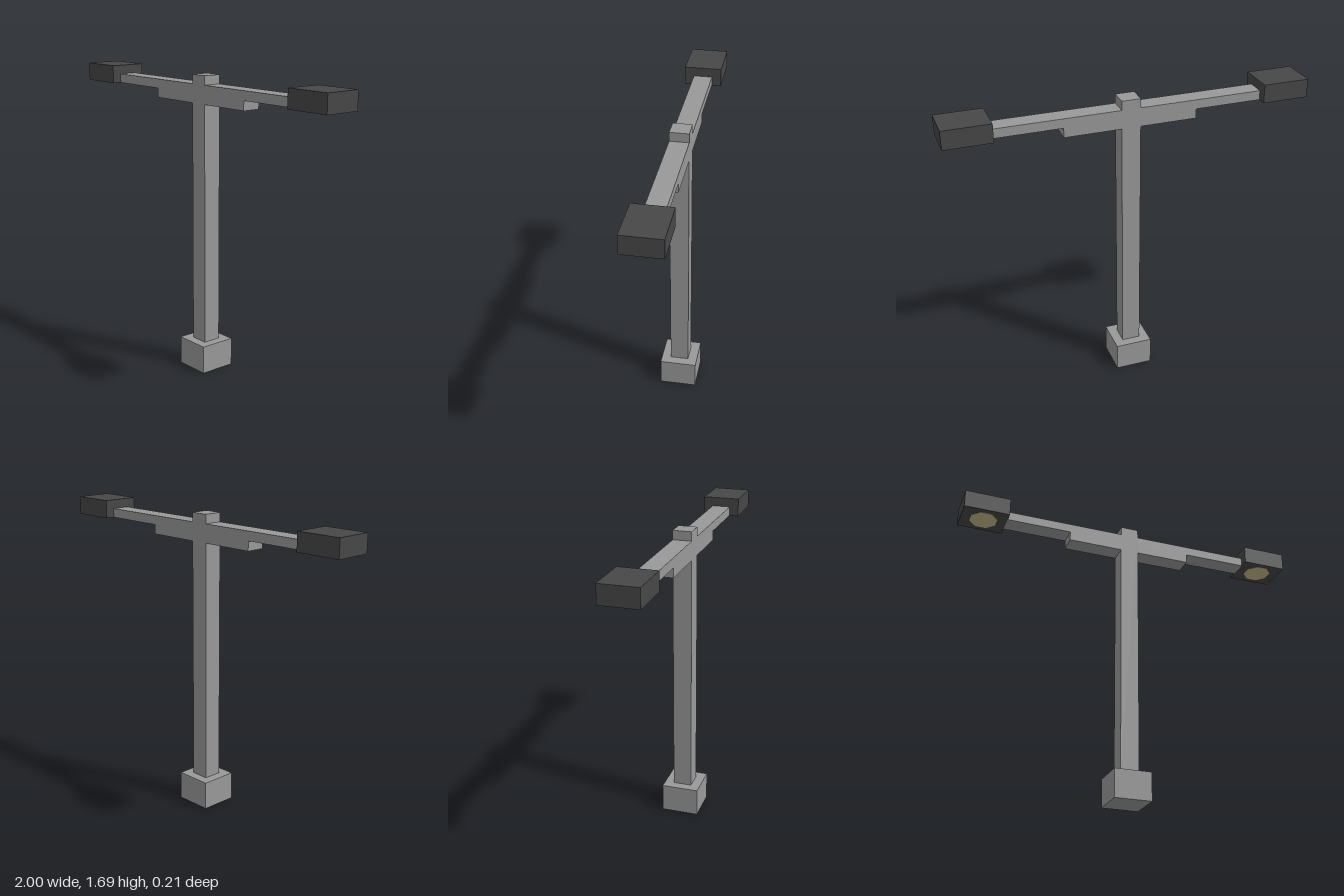
import * as THREE from 'three';

export function createModel() {
  const model = new THREE.Group();
  model.name = 'doubleStreetLight';

  const makeMaterial = (name, color) => {
    const material = new THREE.MeshStandardMaterial({ color });
    material.name = name;
    return material;
  };
  const concrete = makeMaterial('concrete grey', 0x999999);
  const housing = makeMaterial('dark housing', 0x474747);
  const glow = makeMaterial('pale yellow lens', 0xc6bb8c);

  const add = (name, geometry, material, x, y, z = 0) => {
    const mesh = new THREE.Mesh(geometry, material);
    mesh.name = name;
    mesh.position.set(x, y, z);
    model.add(mesh);
    return mesh;
  };
  // Box given by its width, depth, bottom and top
  const block = (name, material, width, depth, bottom, top, x = 0) =>
    add(name, new THREE.BoxGeometry(width, top - bottom, depth), material, x, (bottom + top) / 2);

  // Footing and square post
  block('base', concrete, 0.21, 0.21, 0, 0.16);
  block('post', concrete, 0.105, 0.105, 0.16, 1.686);

  for (const [side, s] of [['left', 1], ['right', -1]]) {
    // Arm with a shorter supporting beam beneath it
    block(side + 'Arm', concrete, 0.6875, 0.105, 1.583, 1.635, s * 0.39625);
    block(side + 'Bracket', concrete, 0.315, 0.105, 1.53, 1.583, s * 0.21);

    // Lamp head with an octagonal lens on its underside
    block(side + 'LampHead', housing, 0.26, 0.21, 1.583, 1.686, s * 0.87);
    const lens = new THREE.CylinderGeometry(0.081, 0.081, 0.004, 8);
    lens.rotateY(Math.PI / 8);
    add(side + 'Lens', lens, glow, s * 0.87, 1.583);
  }

  return model;
}
